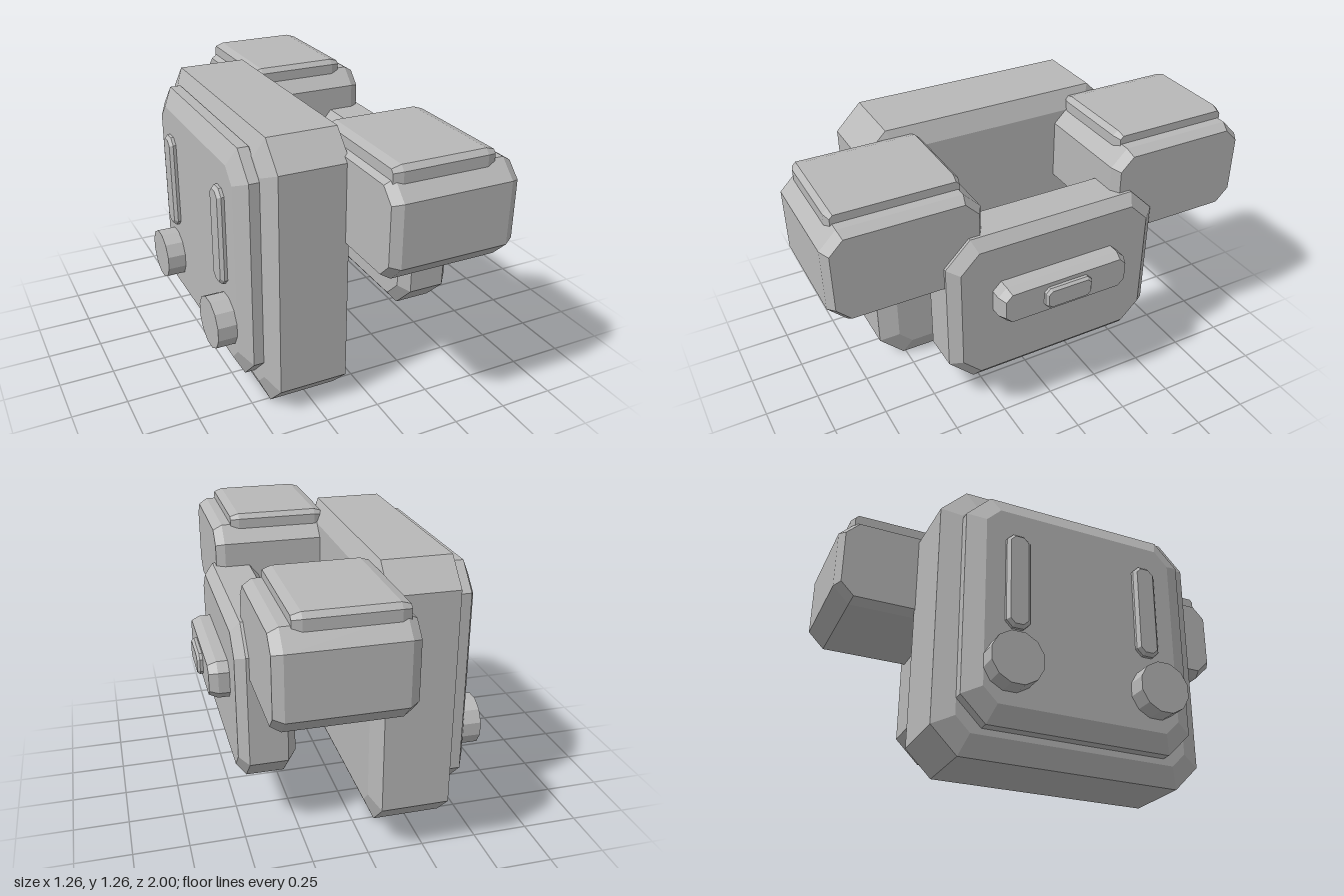
import * as THREE from 'three';

const grey = new THREE.MeshStandardMaterial({ color: 0xb8b8b8 });
grey.name = 'armour grey';

// Octagonal slab lying between x0 and x1: corners cut by `cut` in the zy plane,
// both faces bevelled `bevel` deep along x and `inset` inwards.
function slab(name, [x0, x1], [y0, y1], [z0, z1], cut, bevel, inset) {
  const w = (z1 - z0) / 2, h = (y1 - y0) / 2;
  const outline = new THREE.Shape([
    [w - cut, -h], [w, -h + cut], [w, h - cut], [w - cut, h],
    [-w + cut, h], [-w, h - cut], [-w, -h + cut], [-w + cut, -h],
  ].map(([a, b]) => new THREE.Vector2(a, b)));
  const geometry = new THREE.ExtrudeGeometry(outline, {
    depth: x1 - x0 - 2 * bevel,
    bevelEnabled: true,
    bevelSegments: 1,
    bevelThickness: bevel,
    bevelSize: inset,
    bevelOffset: -inset,
  });
  geometry.translate(0, 0, bevel);
  geometry.rotateY(Math.PI / 2);
  const mesh = new THREE.Mesh(geometry, grey);
  mesh.name = name;
  mesh.position.set(x0, (y0 + y1) / 2, (z0 + z1) / 2);
  return mesh;
}

export function createModel() {
  const model = new THREE.Group();
  model.name = 'bodyArmour';

  // Large back block and its raised outer panel
  model.add(slab('backBlock', [-0.455, -0.06], [0, 1.26], [-0.63, 0.63], 0.118, 0.04, 0.09));
  model.add(slab('backPanel', [-0.543, -0.41], [0.118, 1.2], [-0.54, 0.54], 0.112, 0.042, 0.08));

  // Chest plate with a stepped buckle
  model.add(slab('chestPlate', [0.255, 0.51], [0.26, 1.0], [-0.51, 0.51], 0.115, 0.042, 0.05));
  model.add(slab('buckle', [0.47, 0.6], [0.6, 0.776], [-0.315, 0.315], 0.04, 0.04, 0.017));
  model.add(slab('buckleStud', [0.57, 0.626], [0.638, 0.74], [-0.115, 0.115], 0.022, 0.012, 0.01));

  // Shoulder pads, vents and thrusters on both sides
  for (const side of [-1, 1]) {
    const span = (a, b) => (side > 0 ? [a, b] : [-b, -a]);
    model.add(slab('shoulderPad', [-0.115, 0.455], [0.76, 1.188], span(0.318, 1), 0.076, 0.042, 0.025));
    model.add(slab('shoulderCap', [-0.088, 0.37], [1.14, 1.238], span(0.375, 0.945), 0.022, 0.04, 0.013));
    model.add(slab('backVent', [-0.572, -0.51], [0.545, 1.0], span(0.26, 0.37), 0.03, 0.015, 0.014));

    const geometry = new THREE.CylinderGeometry(0.12, 0.12, 0.12, 12).toNonIndexed();
    geometry.rotateY(Math.PI / 12);
    geometry.rotateZ(Math.PI / 2);
    geometry.computeVertexNormals();
    const thruster = new THREE.Mesh(geometry, grey);
    thruster.name = 'thruster';
    thruster.position.set(-0.57, 0.374, side * 0.345);
    model.add(thruster);
  }
  return model;
}
